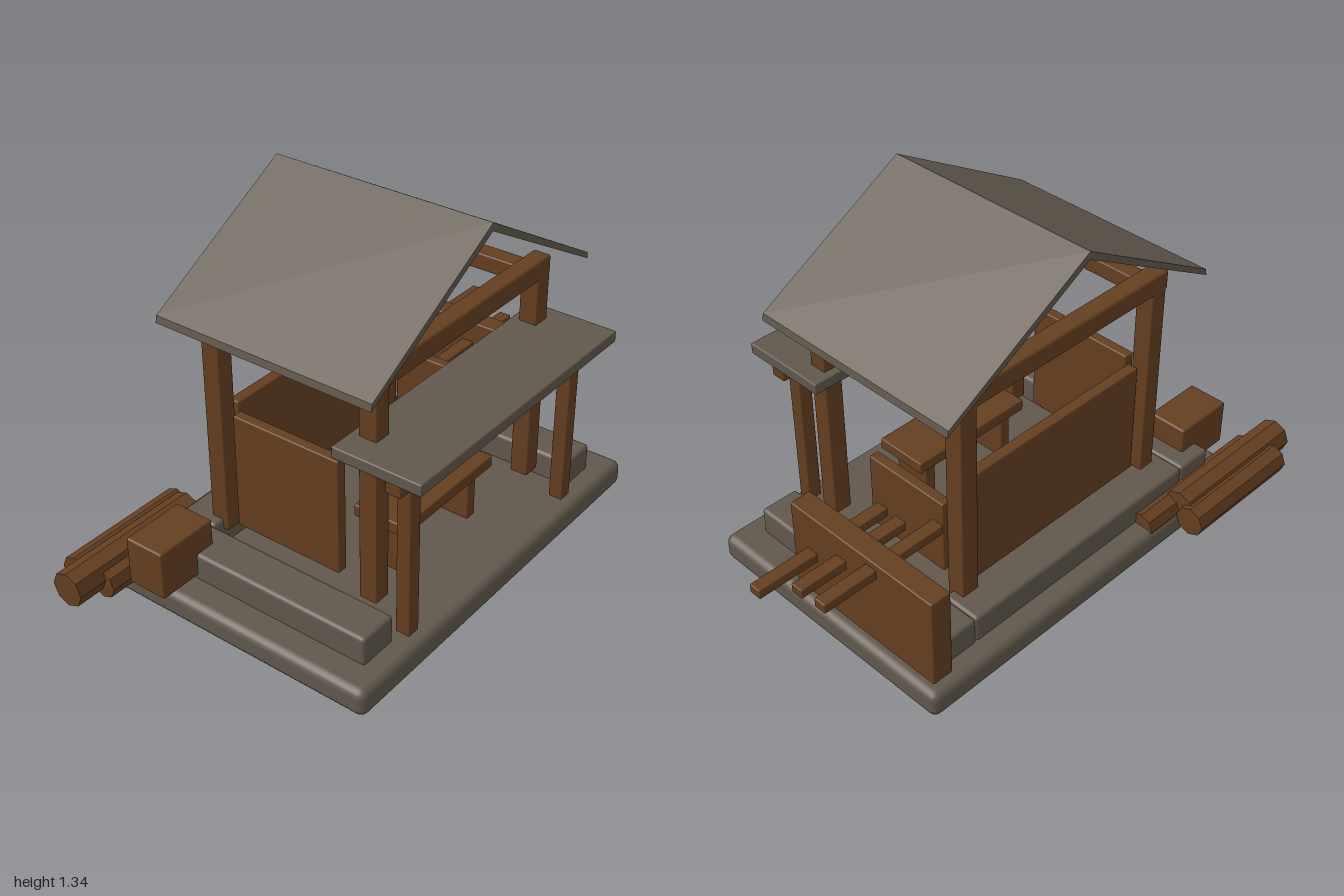
import * as THREE from 'three';
import { RoundedBoxGeometry } from 'three/addons/geometries/RoundedBoxGeometry.js';

export function createModel() {
  const model = new THREE.Group();
  model.name = 'marketHut';
  const wood = new THREE.MeshStandardMaterial({ name: 'brownWood', color: 0x643f20 });
  const stone = new THREE.MeshStandardMaterial({ name: 'greyStone', color: 0x61584c });

  function add(name, geometry, material) {
    const mesh = new THREE.Mesh(geometry, material);
    mesh.name = name;
    model.add(mesh);
    return mesh;
  }
  // Softly bevelled box given by its limits on each axis
  function box(name, [x0, x1], [y0, y1], [z0, z1], material = wood, bevel = 0.005) {
    const geometry = new RoundedBoxGeometry(x1 - x0, y1 - y0, z1 - z0, 2, bevel);
    const mesh = add(name, geometry, material);
    mesh.position.set((x0 + x1) / 2, (y0 + y1) / 2, (z0 + z1) / 2);
    return mesh;
  }

  // Stone base and raised foundation on three sides
  box('base', [-0.79, 0.77], [0, 0.1], [-0.5, 0.56], stone, 0.03);
  box('foundationRight', [-0.68, -0.53], [0.09, 0.2], [-0.42, 0.48], stone, 0.014);
  box('foundationLeft', [0.505, 0.655], [0.09, 0.2], [-0.42, 0.48], stone, 0.014);
  box('foundationBack', [-0.53, 0.505], [0.09, 0.2], [-0.42, -0.27], stone, 0.014);

  // Main frame: four posts, cross beams and side beams
  const sides = [[-0.485, -0.42], [0.395, 0.465]];
  const ends = [[0.31, 0.378], [-0.32, -0.25]];
  for (const z of ends) {
    for (const x of sides) box('mainPost', x, [0.16, 0.95], z);
    box('crossBeam', [-0.495, 0.47], [0.94, 1.015], z, wood, 0.01);
  }
  for (const x of sides) box('sideBeam', x, [0.915, 0.975], [-0.27, 0.33]);

  // Porch with a flat canopy
  for (const x of [[-0.507, -0.455], [0.4, 0.453]]) {
    box('porchPost', x, [0.115, 0.69], [0.47, 0.523]);
  }
  box('porchBeam', [-0.565, 0.515], [0.68, 0.737], [0.467, 0.527], wood, 0.008);
  box('porchCanopy', [-0.58, 0.53], [0.735, 0.777], [0.28, 0.61], stone);

  // Walls
  box('backWall', [-0.41, 0.388], [0.2, 0.64], [-0.285, -0.243]);
  box('rightWall', [-0.475, -0.435], [0.2, 0.635], [-0.21, 0.22]);
  box('leftHalfWall', [0.385, 0.425], [0.2, 0.49], [-0.19, 0.16]);

  // Gable roof of two thin sloping slabs
  const roofShape = new THREE.Shape([
    [-0.605, 0.975], [-0.01, 1.308], [0.585, 0.975],
    [0.58, 1.0], [-0.01, 1.337], [-0.6, 1.0],
  ].map(([x, y]) => new THREE.Vector2(x, y)));
  const roof = new THREE.ExtrudeGeometry(roofShape, { depth: 0.84, bevelEnabled: false });
  roof.translate(0, 0, -0.39);
  add('gableRoof', roof, stone);

  // Bench
  box('benchSeat', [-0.295, 0.215], [0.29, 0.335], [0.14, 0.345]);
  for (const x of [[-0.25, -0.207], [0.125, 0.17]]) {
    box('benchLeg', x, [0.1, 0.295], [0.165, 0.31]);
  }

  // Peg board at the side with three pegs through it
  box('pegBoard', [0.685, 0.765], [0.16, 0.505], [-0.495, 0.155]);
  const pegs = [
    [0.46, 1.0, 0.34, 0.062],
    [0.51, 0.945, 0.405, -0.083],
    [0.48, 0.97, 0.463, -0.227],
  ];
  for (const [x0, x1, y, z] of pegs) {
    box('peg', [x0, x1], [y - 0.018, y + 0.018], [z - 0.024, z + 0.024], wood, 0.004);
  }

  // Wooden block beside the hut
  box('woodBlock', [-0.84, -0.6], [0.115, 0.295], [-0.365, -0.21], wood, 0.008);

  // Log pile of eight-sided logs lying along x
  const logs = [
    [-1.0, -0.435, 0.122, -0.49, 0.064],
    [-0.905, -0.415, 0.105, -0.555, 0.057],
    [-0.89, -0.285, 0.098, -0.443, 0.052],
  ];
  const flatWood = wood.clone();
  flatWood.name = 'brownLogWood';
  flatWood.flatShading = true;
  for (const [x0, x1, y, z, r] of logs) {
    const log = new THREE.CylinderGeometry(r, r, x1 - x0, 8);
    log.rotateZ(Math.PI / 2);
    add('log', log, flatWood).position.set((x0 + x1) / 2, y, z);
  }

  return model;
}
